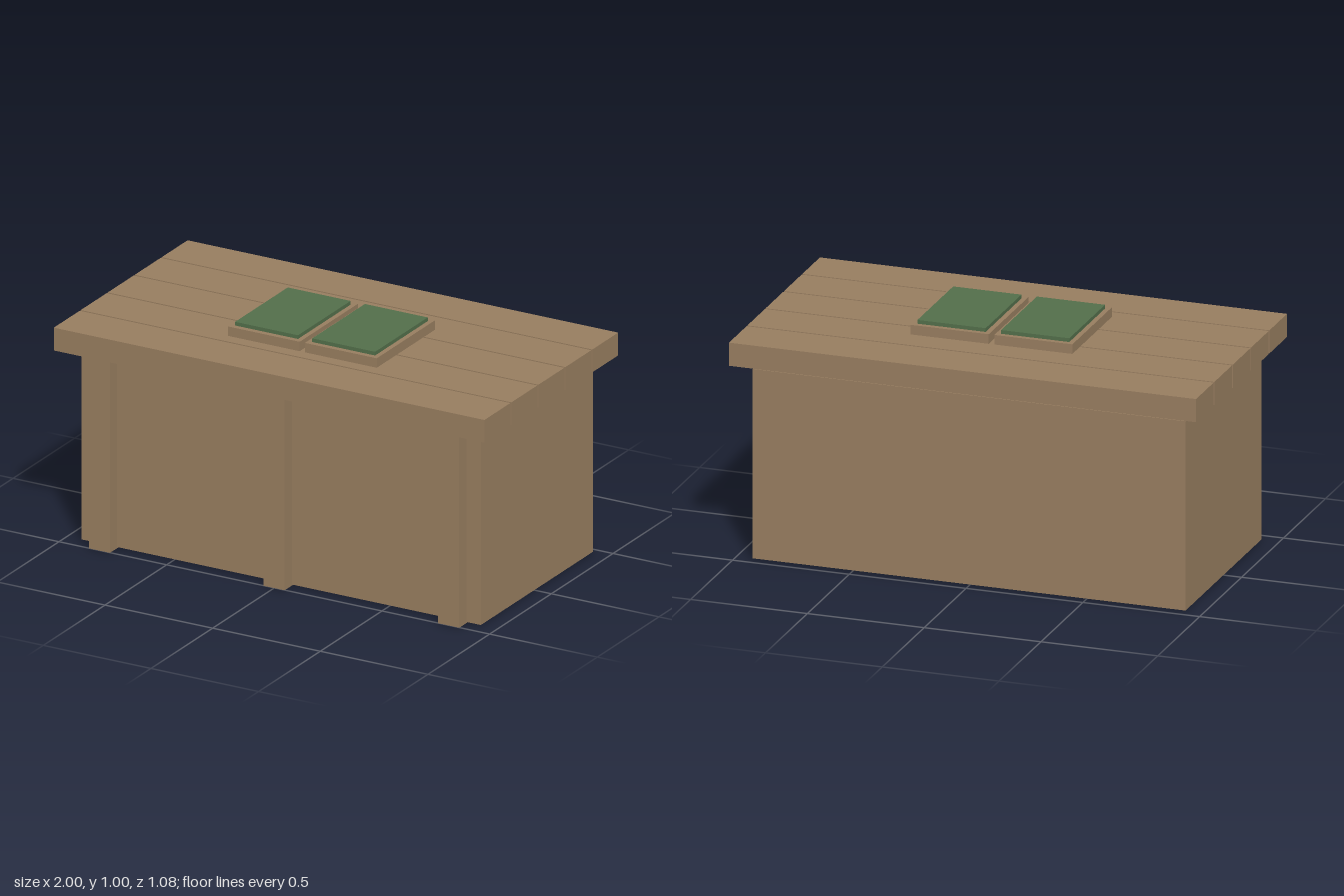
import * as THREE from 'three';

export function createModel() {
  const model = new THREE.Group();
  model.name = 'counter';

  const wood = new THREE.MeshStandardMaterial({ color: 0x977d5f });
  wood.name = 'wood brown';
  const green = new THREE.MeshStandardMaterial({ color: 0x526e4a });
  green.name = 'mat green';

  // Box given by its extents along each axis
  function box(name, material, [x0, x1], [y0, y1], [z0, z1]) {
    const mesh = new THREE.Mesh(new THREE.BoxGeometry(x1 - x0, y1 - y0, z1 - z0), material);
    mesh.position.set((x0 + x1) / 2, (y0 + y1) / 2, (z0 + z1) / 2);
    mesh.name = name;
    model.add(mesh);
  }

  // Closed cabinet under the counter
  box('cabinet', wood, [-0.927, 0.927], [0.005, 0.815], [-0.465, 0.444]);

  // Front posts carrying the top
  for (const x of [-0.811, 0, 0.811]) {
    box('frontPost', wood, [x - 0.049, x + 0.049], [0, 0.846], [0.424, 0.502]);
  }

  // Five planks with narrow gaps
  const plank = 0.21, pitch = 0.2187;
  for (let i = -2; i <= 2; i++) {
    const z = i * pitch;
    box('topPlank', wood, [-1, 1], [0.846, 0.945], [z - plank / 2, z + plank / 2]);
  }

  // Two trays side by side, each with a green mat
  for (const x of [-0.181, 0.177]) {
    box('tray', wood, [x - 0.167, x + 0.167], [0.945, 0.986], [-0.202, 0.27]);
    box('mat', green, [x - 0.146, x + 0.146], [0.986, 1.002], [-0.18, 0.247]);
  }

  return model;
}
